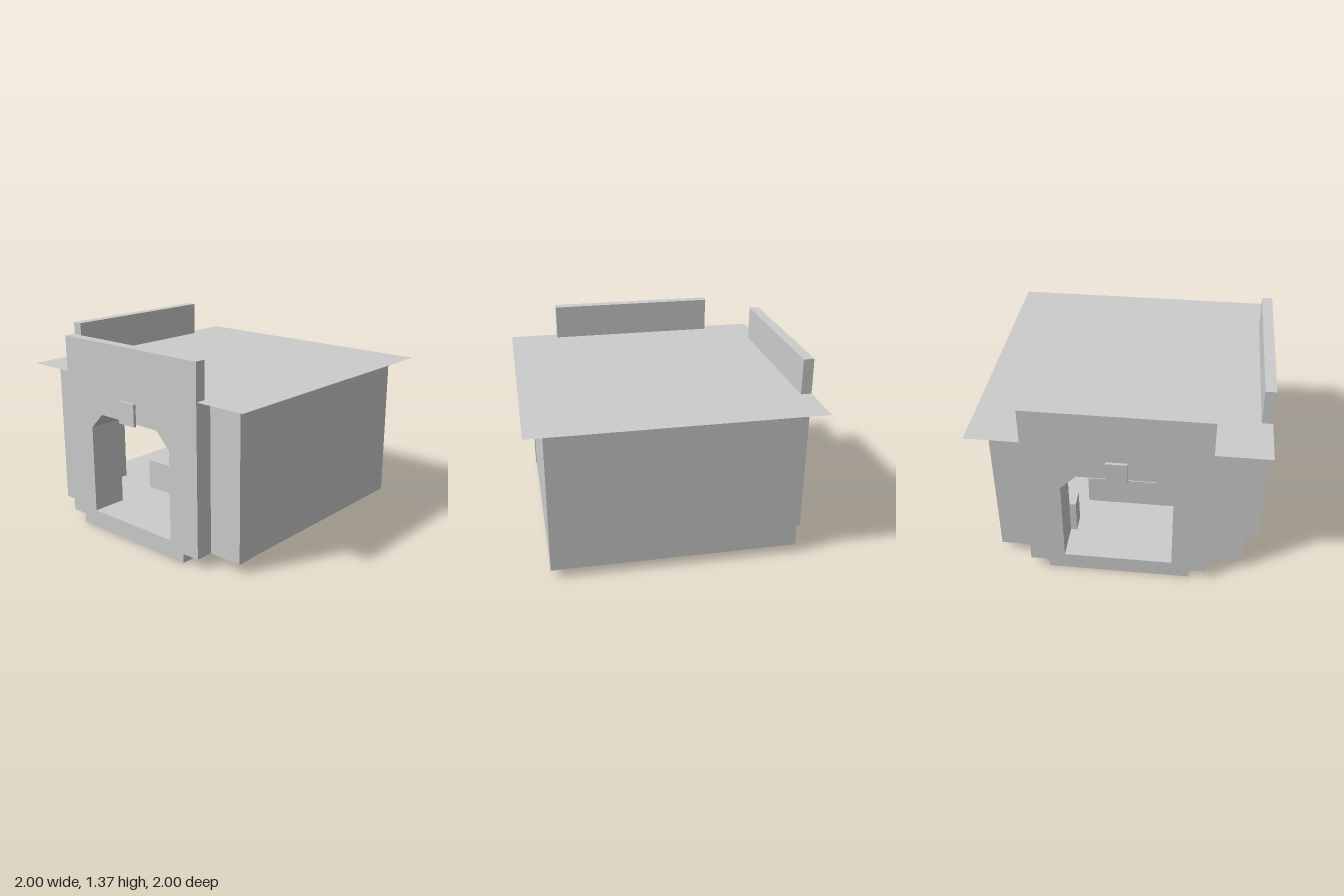
import * as THREE from 'three';

const stone = new THREE.MeshStandardMaterial({ color: 0xcccccc });
stone.name = 'stone';
const sheet = new THREE.MeshStandardMaterial({ color: 0xcccccc, side: THREE.DoubleSide });
sheet.name = 'stoneSheet';

function add(parent, name, geometry, material = stone) {
  const mesh = new THREE.Mesh(geometry, material);
  mesh.name = name;
  parent.add(mesh);
  return mesh;
}

// Box given by its lower and upper limits on each axis
function box(parent, name, x0, x1, y0, y1, z0, z1) {
  const mesh = add(parent, name, new THREE.BoxGeometry(x1 - x0, y1 - y0, z1 - z0));
  mesh.position.set((x0 + x1) / 2, (y0 + y1) / 2, (z0 + z1) / 2);
  return mesh;
}

// Upright slab in the xy plane with the chamfered doorway cut out
function doorSlab(parent, name, x0, x1, y0, y1, z0, z1) {
  const toPoints = (list) => list.map(([x, y]) => new THREE.Vector2(x, y));
  const shape = new THREE.Shape(toPoints([[x0, y0], [x1, y0], [x1, y1], [x0, y1]]));
  shape.holes.push(new THREE.Path(toPoints([
    [-0.365, 0.125], [-0.365, 0.75], [-0.255, 0.86], [0.275, 0.86], [0.385, 0.75], [0.385, 0.125],
  ])));
  const geometry = new THREE.ExtrudeGeometry(shape, { depth: z1 - z0, bevelEnabled: false });
  geometry.translate(0, 0, z0);
  add(parent, name, geometry);
}

// Entrance side: inner wall, projecting facade, parapet and keystone
function entrance(name) {
  const side = new THREE.Group();
  side.name = name;
  doorSlab(side, 'doorWall', -0.855, 0.87, 0.065, 1.11, -0.855, -0.73);
  doorSlab(side, 'facade', -0.61, 0.63, 0.065, 1.11, -0.98, -0.855);
  box(side, 'parapet', -0.61, 0.63, 1.11, 1.365, -0.98, -0.905);
  box(side, 'keystone', -0.065, 0.08, 0.845, 1.0, -1.0, -0.98);
  return side;
}

export function createModel() {
  const model = new THREE.Group();
  model.name = 'building';

  // Stepped base with a tongue under each entrance
  const plan = new THREE.Shape([
    [0.75, 0.75], [0.75, -0.73], [0.5, -0.73], [0.5, -0.98], [-0.49, -0.98], [-0.49, -0.73],
    [-0.73, -0.73], [-0.73, -0.49], [-0.98, -0.49], [-0.98, 0.5], [-0.73, 0.5], [-0.73, 0.75],
  ].map(([x, z]) => new THREE.Vector2(x, -z)));
  const base = new THREE.ExtrudeGeometry(plan, { depth: 0.065, bevelEnabled: false });
  base.rotateX(-Math.PI / 2);
  add(model, 'base', base);

  // Floor, closed walls and low interior blocks
  box(model, 'floor', -0.73, 0.75, 0.065, 0.125, -0.73, 0.75);
  box(model, 'frontWall', -0.855, 0.87, 0.065, 1.11, 0.75, 0.87);
  box(model, 'leftWall', 0.75, 0.87, 0.065, 1.11, -0.855, 0.75);
  box(model, 'pedestal', -0.41, 0.3, 0.125, 0.345, -0.41, 0.3);
  box(model, 'cornerBlock', 0.34, 0.75, 0.125, 0.37, -0.73, -0.6);
  box(model, 'cornerBlock', -0.73, -0.6, 0.125, 0.37, 0.34, 0.75);

  // Two matching entrances
  model.add(entrance('backEntrance'));
  const right = entrance('rightEntrance');
  right.rotation.y = Math.PI / 2;
  right.position.z = 0.02;
  model.add(right);

  // Thin flat roof
  const roof = new THREE.PlaneGeometry(1.975, 1.975);
  roof.rotateX(-Math.PI / 2);
  roof.translate(0.0085, 1.113, 0.0085);
  add(model, 'roof', roof, sheet);

  return model;
}
